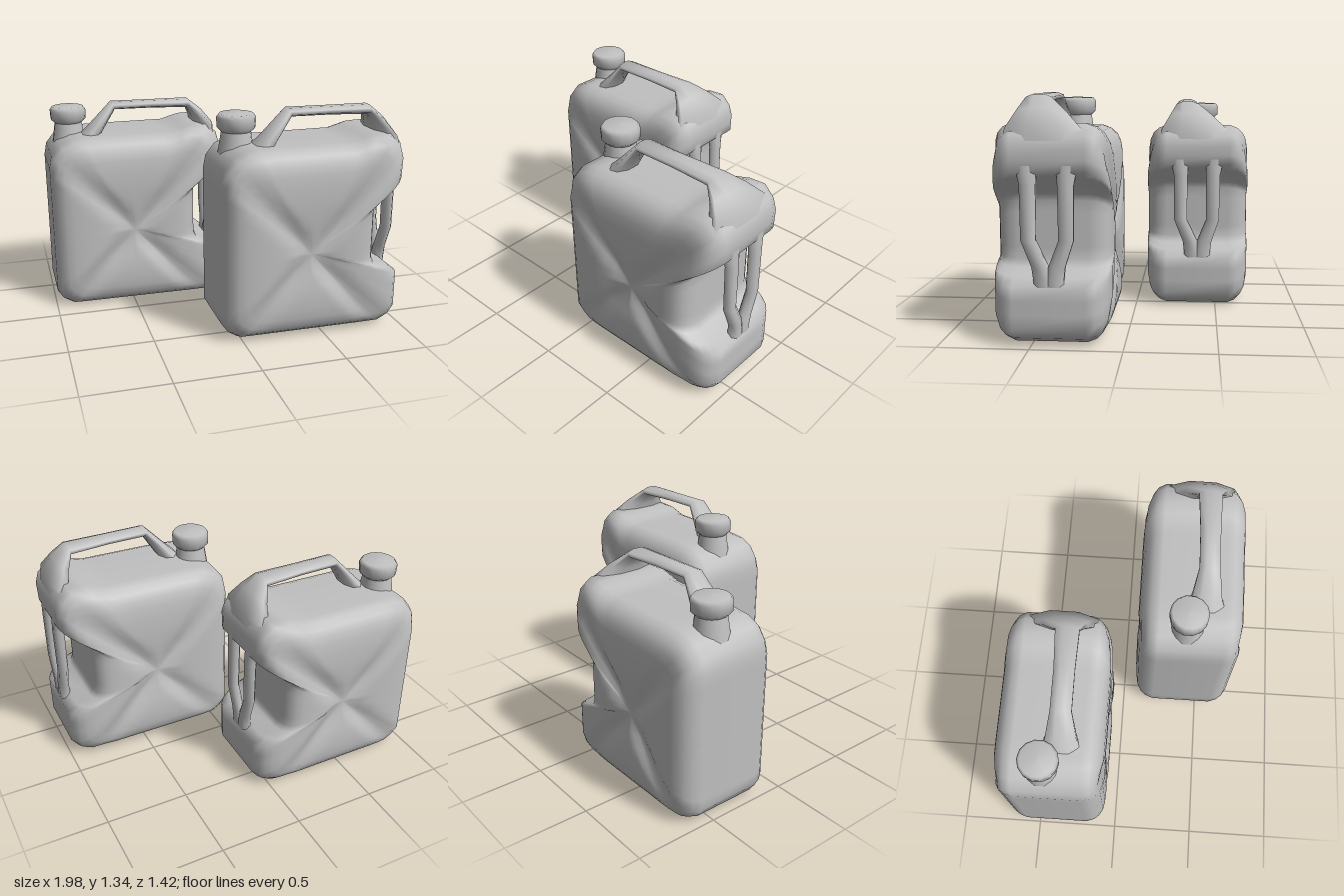
import * as THREE from 'three';
import { mergeVertices } from 'three/addons/utils/BufferGeometryUtils.js';

const plastic = new THREE.MeshStandardMaterial({ color: 0xc0c0c0 });
plastic.name = 'grey plastic';

// Joins closed rings of [x, y, z] points into one smooth skin
function skin(rings) {
  const n = rings[0].length, index = [];
  for (let i = 0; i < rings.length - 1; i++) {
    for (let j = 0; j < n; j++) {
      const k = (j + 1) % n;
      const a = i * n + j, b = a + n, c = (i + 1) * n + k, d = i * n + k;
      index.push(a, b, c, a, c, d);
    }
  }
  const raw = new THREE.BufferGeometry();
  raw.setAttribute('position', new THREE.Float32BufferAttribute(rings.flat(2), 3));
  raw.setIndex(index);
  const geometry = mergeVertices(raw, 1e-4);
  geometry.computeVertexNormals();
  return geometry;
}

// Eight-sided bar along a path; each station is [x, y, z, half width in z, half thickness]
function bar(path) {
  return skin(path.map(([x, y, z, w, t], i) => {
    const p = path[Math.max(i - 1, 0)], q = path[Math.min(i + 1, path.length - 1)];
    const len = Math.hypot(q[0] - p[0], q[1] - p[1]);
    const dx = (q[0] - p[0]) / len, dy = (q[1] - p[1]) / len;
    return Array.from({ length: 8 }, (_, k) => {
      const a = (k + 0.5) * Math.PI / 4;
      const u = Math.cos(a) * 1.08 * w, v = Math.sin(a) * 1.08 * t;
      return [x - dy * v, y + dx * v, z + u];
    });
  }));
}

// Side outline of the can, with the grip recess on the right
const OUTLINE = [
  [-0.02, 0.012], [0.88, 0.01], [0.945, 0.045], [0.985, 0.1], [0.985, 0.33], [0.93, 0.375],
  [0.83, 0.405], [0.81, 0.45], [0.81, 0.77], [0.825, 0.81], [0.9, 0.87], [0.98, 0.94],
  [0.985, 1.06], [0.965, 1.13], [0.9, 1.19], [0.8, 1.185], [0.68, 1.15], [0.15, 1.145],
  [0.03, 1.135], [-0.05, 1.1], [-0.105, 1.03], [-0.12, 0.95], [-0.115, 0.1], [-0.075, 0.045],
];
const CENTRE = [0.4, 0.52], MID_Z = 0.395;
// [scale towards the centre, half depth]
const LAYERS = [[0, 0.285], [0.1, 0.295], [0.22, 0.305], [0.36, 0.314], [0.5, 0.32],
  [0.64, 0.32], [0.76, 0.315], [0.85, 0.303], [0.92, 0.28], [0.97, 0.245], [1, 0.195]];

function bodyGeometry() {
  const rim = [];
  OUTLINE.forEach(([x, y], i) => {
    const [x2, y2] = OUTLINE[(i + 1) % OUTLINE.length];
    const steps = Math.max(1, Math.round(Math.hypot(x2 - x, y2 - y) / 0.07));
    for (let k = 0; k < steps; k++) rim.push([x + (x2 - x) * k / steps, y + (y2 - y) * k / steps]);
  });
  const ring = (s, depth, side) => rim.map(([x, y]) => {
    const dx = (x - CENTRE[0]) * s, dy = (y - CENTRE[1]) * s;
    // pressed cross running from corner to corner
    const off = Math.abs(Math.abs(dx) / 0.5 - Math.abs(dy) / 0.55);
    const groove = 0.03 * Math.max(0, 1 - off / 0.22) * Math.min(1, s * 4) * Math.min(1, (1 - s) * 4);
    return [CENTRE[0] + dx, CENTRE[1] + dy, MID_Z + side * (depth - groove)];
  });
  return skin([
    ...LAYERS.map(([s, d]) => ring(s, d, 1)),
    ...LAYERS.slice().reverse().map(([s, d]) => ring(s, d, -1)),
  ]);
}

function createCan() {
  const can = new THREE.Group();
  const add = (name, geometry) => {
    const mesh = new THREE.Mesh(geometry, plastic);
    mesh.name = name;
    can.add(mesh);
    return mesh;
  };

  add('body', bodyGeometry());

  // Carrying handle, flaring into the shoulder
  add('topHandle', bar([
    [0.11, 1.06, 0.47, 0.14, 0.06],
    [0.19, 1.165, 0.47, 0.09, 0.042],
    [0.31, 1.318, 0.47, 0.06, 0.026],
    [0.56, 1.316, 0.467, 0.06, 0.024],
    [0.8, 1.311, 0.462, 0.07, 0.028],
    [0.86, 1.245, 0.44, 0.13, 0.04],
    [0.91, 1.16, 0.42, 0.2, 0.06],
    [0.92, 1.0, 0.4, 0.26, 0.06],
  ]));

  // Rear grip: two bars meeting in a fork
  for (const side of [1, -1]) {
    add(side > 0 ? 'gripBarFront' : 'gripBarBack', bar([
      [0.945, 1.0, 0.4 + side * 0.11, 0.06, 0.035],
      [0.955, 0.87, 0.4 + side * 0.1, 0.043, 0.032],
      [0.957, 0.58, 0.4 + side * 0.1, 0.04, 0.03],
      [0.955, 0.44, 0.395 + side * 0.045, 0.045, 0.03],
      [0.95, 0.36, 0.395 + side * 0.03, 0.05, 0.034],
      [0.945, 0.27, 0.395 + side * 0.03, 0.06, 0.035],
    ]));
  }

  // Spout and screw cap
  const neck = add('neck', new THREE.CylinderGeometry(0.085, 0.11, 0.16, 14, 1, true));
  neck.position.set(0.033, 1.135, 0.368);
  const capProfile = [[0, 1.19], [0.08, 1.195], [0.112, 1.225], [0.115, 1.285], [0.1, 1.306], [0, 1.312]];
  const cap = add('cap', new THREE.LatheGeometry(capProfile.map(([r, y]) => new THREE.Vector2(r, y)), 14));
  cap.position.set(0.033, 0, 0.368);
  return can;
}

export function createModel() {
  const model = new THREE.Group();
  model.name = 'jerryCans';

  const frontCan = createCan();
  frontCan.name = 'frontCan';

  const backCan = createCan();
  backCan.name = 'backCan';
  backCan.scale.set(0.98, 0.964, 1);
  backCan.position.set(-0.878, -0.01, -0.778);

  model.add(frontCan, backCan);
  return model;
}
